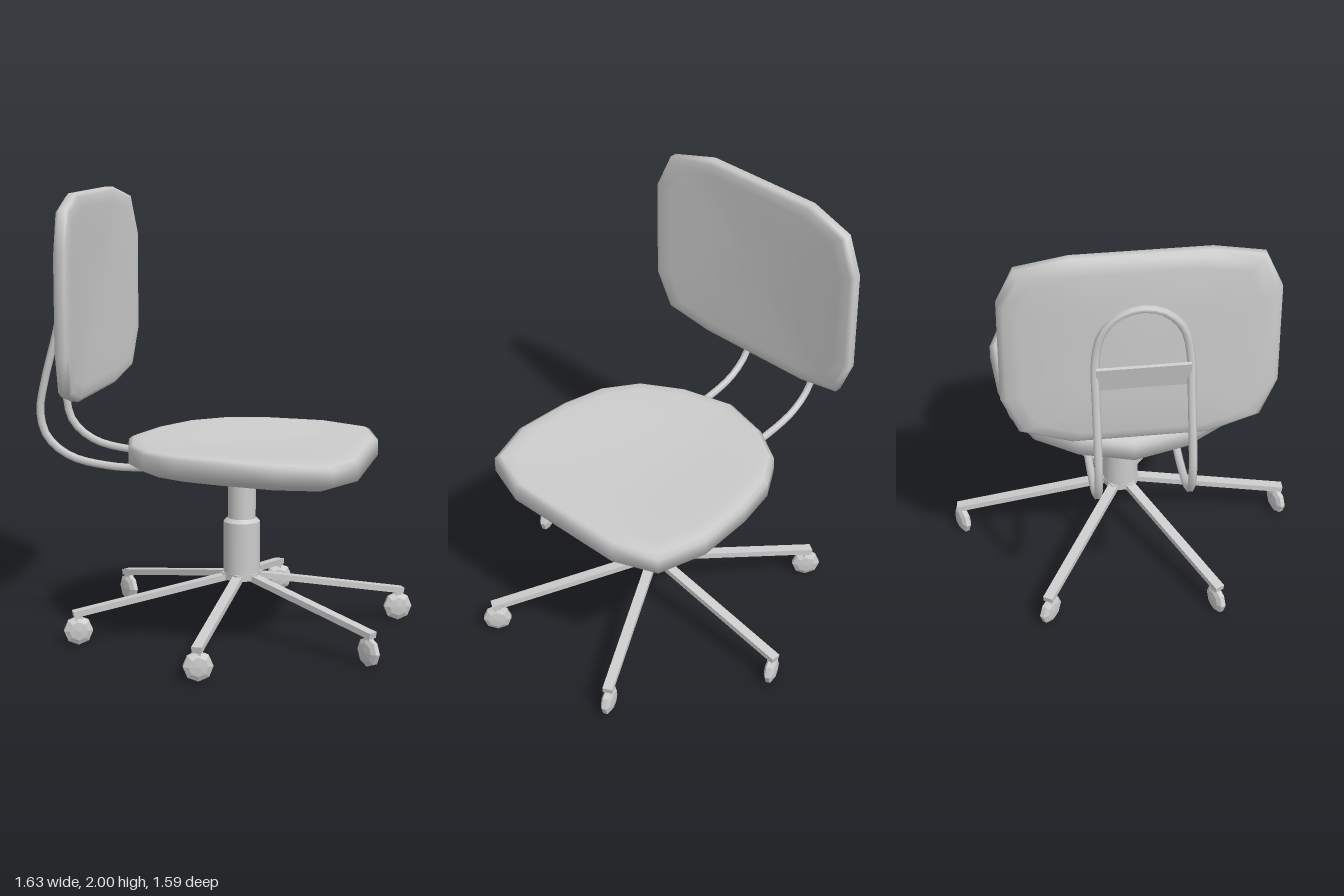
import * as THREE from 'three';

const CZ = -0.01; // centre line of the chair in z
const CX = 0.087; // centre of the column in x
const smooth = new THREE.MeshStandardMaterial({ color: 0xcccccc });
const faceted = new THREE.MeshStandardMaterial({ color: 0xcccccc, flatShading: true });

function add(parent, name, geometry, material = smooth) {
  const mesh = new THREE.Mesh(geometry, material);
  mesh.name = name;
  parent.add(mesh);
  return mesh;
}

// Padded shape: scaled copies of an outline stacked as [scale, height], closed at both centres
function cushion(outline, layers, startHeight, endHeight, place) {
  const n = outline.length, pos = [], idx = [];
  for (const [s, h] of layers)
    for (const [u, v] of outline) pos.push(...place(u * s, v * s, h));
  const start = pos.length / 3, end = start + 1;
  pos.push(...place(0, 0, startHeight), ...place(0, 0, endHeight));
  const last = (layers.length - 1) * n;
  for (let j = 0; j < n; j++) {
    const k = (j + 1) % n;
    idx.push(start, j, k, last + j, end, last + k);
    for (let r = 0; r < last; r += n)
      idx.push(r + j, r + n + j, r + n + k, r + j, r + n + k, r + k);
  }
  const g = new THREE.BufferGeometry();
  g.setAttribute('position', new THREE.Float32BufferAttribute(pos, 3));
  g.setIndex(idx);
  g.computeVertexNormals();
  return g;
}

export function createModel() {
  const chair = new THREE.Group();
  chair.name = 'swivelChair';

  // Seat: half outline (x, z) from the rounded back to the front edge, mirrored in z
  const seatX = 0.11;
  const half = [[-0.375, -0.24], [-0.26, -0.418], [-0.1, -0.518], [0.1, -0.562],
    [0.37, -0.578], [0.59, -0.508], [0.66, -0.3]].map(([x, z]) => [x - seatX, z]);
  const seatOutline = [[-0.44 - seatX, 0], ...half,
    ...half.map(([x, z]) => [x, -z]).reverse()];
  add(chair, 'seat', cushion(seatOutline,
    [[0.5, 0.758], [0.86, 0.772], [1, 0.805], [1, 0.875], [0.96, 0.89], [0.86, 0.9], [0.5, 0.89]],
    0.757, 0.882,
    (u, v, h) => {
      const x = u + seatX;
      return [x, h - 0.03 * Math.max(0, x) + 0.018 * (v / 0.58) ** 2, v + CZ];
    }));

  // Backrest: quarter outline (z, y) mirrored twice, curved forward at the sides
  const corner = [[0.58, 0.234], [0.507, 0.402], [0.288, 0.457]];
  const upper = [...corner, ...corner.map(([z, y]) => [-z, y]).reverse()];
  const backOutline = [...upper, ...upper.map(([z, y]) => [-z, -y])];
  add(chair, 'backrest', cushion(backOutline,
    [[0.5, -0.665], [0.86, -0.662], [0.96, -0.65], [1, -0.632], [1, -0.6], [0.96, -0.588], [0.86, -0.582], [0.5, -0.583]],
    -0.665, -0.583,
    (u, v, h) => [h + 0.048 * (u / 0.58) ** 2, v + 1.543, u + CZ]));

  // Bent tube: from under the seat, up behind the backrest, over an arch and down again
  const side = [[-0.12, 0.79, 0.197], [-0.3, 0.785, 0.197], [-0.46, 0.785, 0.197],
    [-0.66, 0.825, 0.197], [-0.765, 0.91, 0.197], [-0.795, 1.02, 0.197],
    [-0.775, 1.15, 0.197], [-0.72, 1.36, 0.197], [-0.68, 1.54, 0.195],
    [-0.672, 1.67, 0.165], [-0.671, 1.75, 0.09]];
  const path = [...side, [-0.671, 1.775, 0],
    ...side.map(([x, y, z]) => [x, y, -z]).reverse()]
    .map(([x, y, z]) => new THREE.Vector3(x, y, z + CZ));
  add(chair, 'backFrame',
    new THREE.TubeGeometry(new THREE.CatmullRomCurve3(path), 72, 0.018, 6));

  // Flat plate joining both sides of the tube
  const plate = add(chair, 'backPlate', new THREE.BoxGeometry(0.014, 0.12, 0.39));
  plate.position.set(-0.698, 1.46, CZ);
  plate.rotation.z = 0.21;

  // Column: narrow piston above a wider sleeve
  const piston = add(chair, 'piston', new THREE.CylinderGeometry(0.063, 0.063, 0.27, 24));
  piston.position.set(CX, 0.645, CZ);
  const sleeve = add(chair, 'sleeve', new THREE.CylinderGeometry(0.082, 0.082, 0.25, 24));
  sleeve.position.set(CX, 0.395, CZ);
  const collar = add(chair, 'collar', new THREE.CylinderGeometry(0.065, 0.082, 0.016, 24));
  collar.position.set(CX, 0.528, CZ);

  // Six-sided hub
  const hub = add(chair, 'hub', new THREE.CylinderGeometry(0.095, 0.095, 0.03, 6), faceted);
  hub.position.set(CX, 0.27, CZ);
  hub.rotation.y = -0.03;

  // Six sloping legs, each with a swivelling caster
  const wheel = new THREE.LatheGeometry(
    [[0, -0.026], [0.042, -0.022], [0.065, -0.01], [0.065, 0.01], [0.042, 0.022], [0, 0.026]]
      .map(([r, y]) => new THREE.Vector2(r, y)), 8).rotateX(Math.PI / 2);
  const legLength = Math.hypot(0.72, 0.128);
  for (let i = 0; i < 6; i++) {
    const angle = THREE.MathUtils.degToRad(-28.3 + 60 * i);
    const unit = new THREE.Group();
    unit.name = 'legUnit';
    unit.position.set(CX, 0, CZ);
    unit.rotation.y = -angle;
    chair.add(unit);

    const leg = add(unit, 'leg', new THREE.BoxGeometry(legLength, 0.027, 0.045));
    leg.position.set(0.42, 0.205, 0);
    leg.rotation.z = -Math.atan2(0.128, 0.72);

    const stem = add(unit, 'casterStem', new THREE.BoxGeometry(0.03, 0.04, 0.03));
    stem.position.set(0.757, 0.125, 0);

    const heading = THREE.MathUtils.degToRad(i === 1 || i === 4 ? 43 : -22);
    const caster = add(unit, 'caster', wheel, faceted);
    caster.position.set(0.757, 0.066, 0);
    caster.rotation.y = angle - heading;
  }
  return chair;
}
